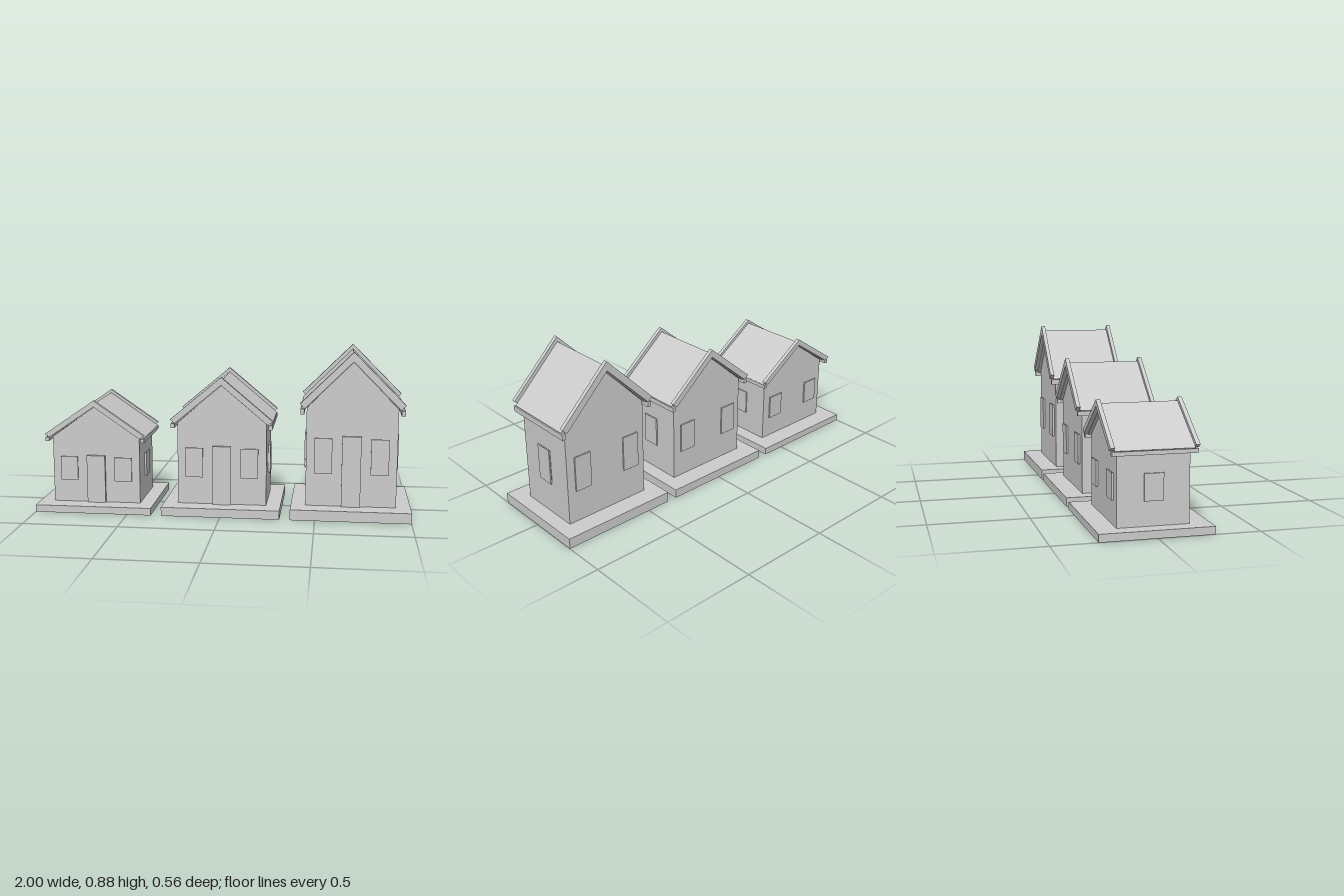
import * as THREE from 'three';

const grey = new THREE.MeshStandardMaterial({ color: 0xcccccc });
grey.name = 'plain grey';

function add(parent, name, geometry, x = 0, y = 0, z = 0) {
  const mesh = new THREE.Mesh(geometry, grey);
  mesh.name = name;
  mesh.position.set(x, y, z);
  parent.add(mesh);
  return mesh;
}

// Extrudes half an outline (x >= 0, mirrored to the other side) along z
function mirroredExtrude(half, z0, z1) {
  const other = half.filter(([x]) => x > 0).map(([x, y]) => [-x, y]);
  return extrude(half.concat(other.reverse()), z0, z1);
}

function extrude(points, z0, z1) {
  const shape = new THREE.Shape(points.map(([x, y]) => new THREE.Vector2(x, y)));
  const geometry = new THREE.ExtrudeGeometry(shape, { depth: z1 - z0, bevelEnabled: false });
  return geometry.translate(0, 0, z0);
}

// Closed chevron: down the outer slope, back up the inner slope, both sides
function chevron(top, outerX, thickness, z0, z1) {
  const innerX = outerX - thickness / 2; // square-cut end of a 45 degree board
  const endY = top - outerX;
  const innerY = top - thickness - innerX;
  return extrude([
    [0, top], [-outerX, endY], [-innerX, innerY],
    [0, top - thickness], [innerX, innerY], [outerX, endY],
  ], z0, z1);
}

// Window: raised plate on a slightly smaller backing, facing +z
function makeWindow(name, x, z, angle) {
  const group = new THREE.Group();
  group.name = name;
  add(group, 'windowBacking', new THREE.BoxGeometry(0.084, 0.18, 0.008), 0, 0, 0.003);
  add(group, 'windowPane', new THREE.BoxGeometry(0.094, 0.19, 0.007), 0, 0, 0.0085);
  group.position.set(x, 0.327, z);
  group.rotation.y = angle;
  return group;
}

function makeHouse(name, x, height) {
  const house = new THREE.Group();
  house.name = name;
  const wallX = 0.238, wallZ = 0.176;

  add(house, 'base', new THREE.BoxGeometry(0.63, 0.056, 0.556), 0, 0.028, 0);
  add(house, 'walls', mirroredExtrude([[0, 0.826], [wallX, 0.58], [wallX, 0.05]], -wallZ, wallZ));
  add(house, 'door', new THREE.BoxGeometry(0.1, 0.379, 0.02), 0, 0.2455, wallZ + 0.006);

  // Roof slabs, gable boards and eave boards
  add(house, 'roof', chevron(0.853, 0.268, 0.03, -0.192, 0.192));
  for (const s of [-1, 1]) {
    add(house, 'gableBoard', chevron(0.88, 0.272, 0.05, -0.0105, 0.0105), 0, 0, s * 0.2025);
    add(house, 'eaveBoard', new THREE.BoxGeometry(0.02, 0.029, 0.412), s * 0.26, 0.5655, 0);
  }

  // Windows: two at the front and back, one on each side
  for (const s of [-1, 1]) {
    house.add(makeWindow('frontWindow', s * 0.148, wallZ, 0));
    house.add(makeWindow('backWindow', s * 0.148, -wallZ, Math.PI));
    house.add(makeWindow('sideWindow', s * wallX, 0, s * Math.PI / 2));
  }

  house.position.x = x;
  house.scale.y = height;
  return house;
}

export function createModel() {
  const model = new THREE.Group();
  model.name = 'houseRow';
  model.add(makeHouse('smallHouse', -0.685, 0.685));
  model.add(makeHouse('mediumHouse', 0, 0.84));
  model.add(makeHouse('tallHouse', 0.685, 1));
  return model;
}
